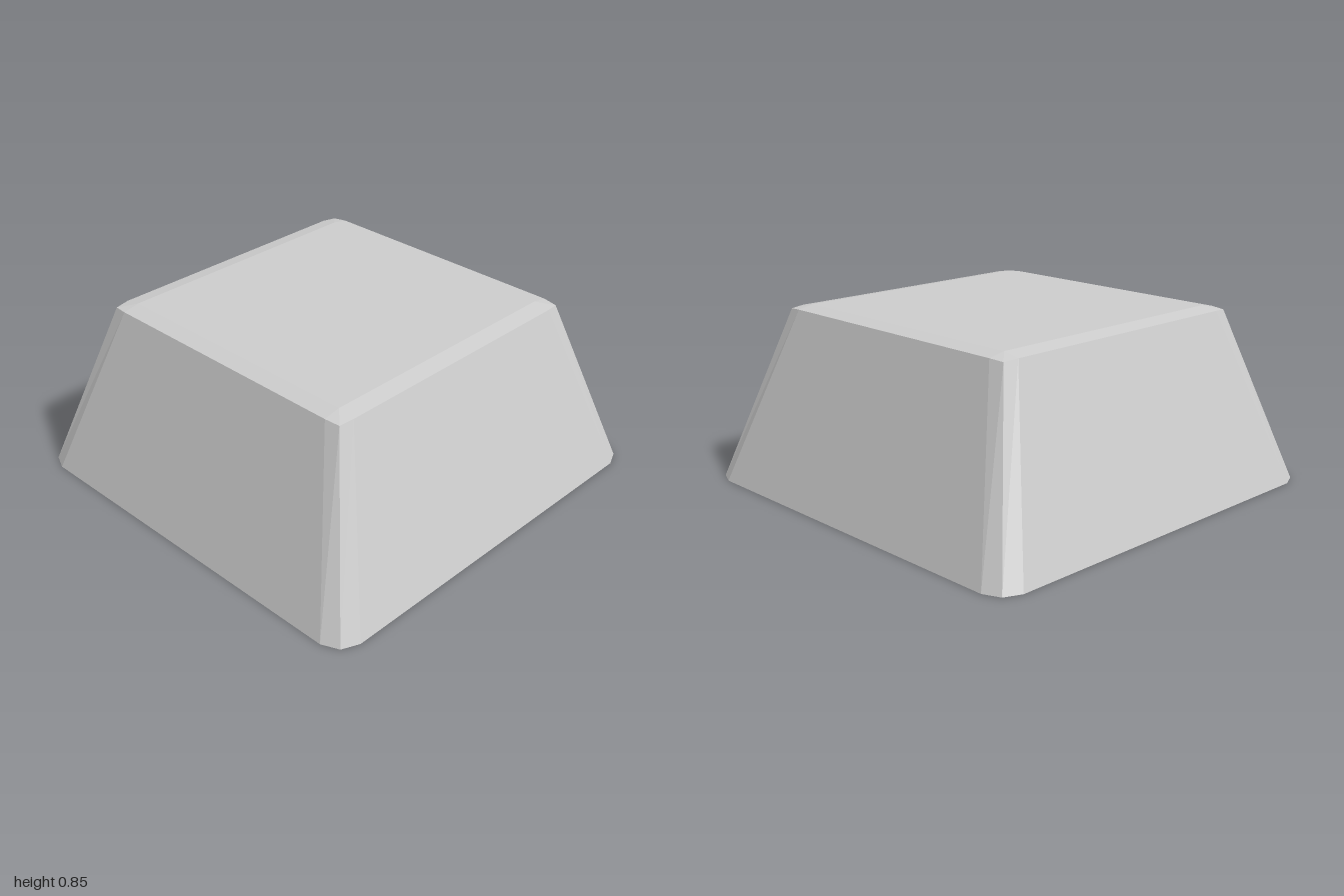
import * as THREE from 'three';

// Square ring with two-facet corners: three points per corner
function ring(outer, mid, inner, ySide, yCorner) {
  const points = [];
  for (let i = 0; i < 4; i++) {
    const c = [1, 0, -1, 0][i], s = [0, 1, 0, -1][i];
    for (const [x, z, y] of [[outer, inner, ySide], [mid, mid, yCorner], [inner, outer, ySide]]) {
      points.push(new THREE.Vector3(x * c - z * s, y, x * s + z * c));
    }
  }
  return points;
}

// Flat-sided band joining two rings, lower one first
function band(lower, upper) {
  const out = [];
  lower.forEach((a, i) => {
    const j = (i + 1) % lower.length;
    out.push(a, upper[i], lower[j], lower[j], upper[i], upper[j]);
  });
  return out;
}

function makeMesh(name, points, material) {
  // Drop collapsed triangles where several points share one corner
  const kept = [];
  for (let i = 0; i < points.length; i += 3) {
    const t = new THREE.Triangle(points[i], points[i + 1], points[i + 2]);
    if (t.getArea() > 1e-8) kept.push(t.a, t.b, t.c);
  }
  const geometry = new THREE.BufferGeometry().setFromPoints(kept);
  geometry.computeVertexNormals();
  const mesh = new THREE.Mesh(geometry, material);
  mesh.name = name;
  return mesh;
}

export function createModel() {
  const group = new THREE.Group();
  group.name = 'hollowCap';
  const grey = new THREE.MeshStandardMaterial({ color: 0xcccccc, side: THREE.DoubleSide });
  grey.name = 'light grey';

  const base = ring(1, 0.965, 0.885, 0, 0);
  const rim = ring(0.72, 0.71, 0.64, 0.83, 0.825);
  const top = ring(0.64, 0.64, 0.64, 0.845, 0.845);

  // Sloping open-bottomed walls
  group.add(makeMesh('walls', band(base, rim), grey));
  // Shallow bevel around the top
  group.add(makeMesh('topBevel', band(rim, top), grey));
  // Flat top panel
  const [a, b, c, d] = [top[1], top[4], top[7], top[10]];
  group.add(makeMesh('topPanel', [a, c, b, a, d, c], grey));
  return group;
}
